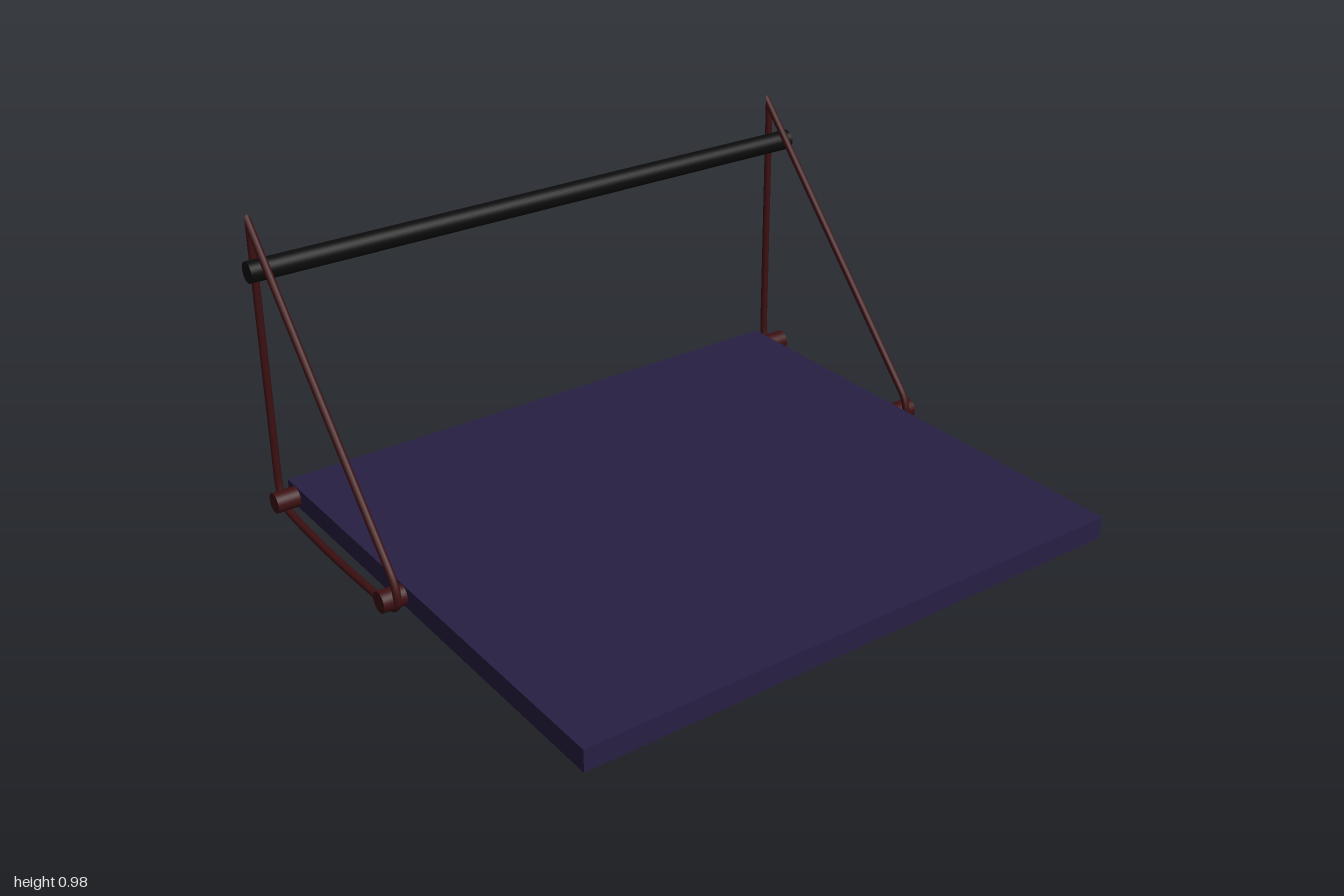
import * as THREE from 'three';

const V = (x, y) => new THREE.Vector3(x, y, 0);

// Strap loop: a closed tube with rounded lower corners and a mitred peak
function strapGeometry() {
  const apex = V(-0.817, 0.95);
  const backLow = V(-0.822, 0.13), bottomA = V(-0.75, 0.024);
  const bottomB = V(-0.12, 0.026), frontLow = V(-0.079, 0.135);
  const path = new THREE.CurvePath();
  path.add(new THREE.LineCurve3(apex, backLow));
  path.add(new THREE.QuadraticBezierCurve3(backLow, V(-0.825, 0.03), bottomA));
  path.add(new THREE.QuadraticBezierCurve3(bottomA, V(-0.5, 0.001), bottomB));
  path.add(new THREE.CubicBezierCurve3(bottomB, V(-0.04, 0.03), V(-0.05, 0.09), frontLow));
  path.add(new THREE.LineCurve3(frontLow, apex));

  const segments = 160, sides = 12;
  const geo = new THREE.TubeGeometry(path, segments, 0.012, sides, false);

  // Cut both ends along the plane that halves the peak angle
  const down = backLow.clone().sub(apex).normalize();
  const slope = frontLow.clone().sub(apex).normalize();
  const normal = down.clone().sub(slope).normalize();
  const pos = geo.attributes.position, v = new THREE.Vector3();
  const miter = (ring, dir, sign, isEnd) => {
    for (let j = 0; j <= sides; j++) {
      const k = ring * (sides + 1) + j;
      v.fromBufferAttribute(pos, k);
      const d = v.clone().sub(apex).dot(normal);
      if (!isEnd && d * sign > 0) continue;
      v.addScaledVector(dir, -d / dir.dot(normal));
      pos.setXYZ(k, v.x, v.y, v.z);
    }
  };
  for (let i = 0; i < 6; i++) {
    miter(i, down, 1, i === 0);
    miter(segments - i, slope, -1, i === 0);
  }
  return geo;
}

export function createModel() {
  const model = new THREE.Group();
  const boardMat = new THREE.MeshStandardMaterial({ color: 0x271f42 });
  const barMat = new THREE.MeshStandardMaterial({ color: 0x0b0b0b });
  const strapMat = new THREE.MeshStandardMaterial({ color: 0x3d1012 });

  const add = (name, geo, mat, x, y, z) => {
    const mesh = new THREE.Mesh(geo, mat);
    mesh.name = name;
    mesh.position.set(x, y, z);
    model.add(mesh);
  };
  const rod = (length) => new THREE.CylinderGeometry(0.033, 0.033, length, 32).rotateX(Math.PI / 2);

  // Flat board and the hanging bar above its edge
  add('board', new THREE.BoxGeometry(1.655, 0.07, 1.852), boardMat, 0.003, 0.065, 0);
  add('hangingBar', rod(2), barMat, -0.77, 0.83, 0);

  // Pegs and strap loops on both ends
  const strap = strapGeometry();
  for (const side of [1, -1]) {
    const end = side > 0 ? 'front' : 'back';
    add(end + 'OuterPeg', rod(0.1), strapMat, -0.77, 0.065, side * 0.95);
    add(end + 'InnerPeg', rod(0.1), strapMat, -0.09, 0.065, side * 0.95);
    add(end + 'Strap', strap, strapMat, 0, 0, side * 0.958);
  }
  return model;
}
